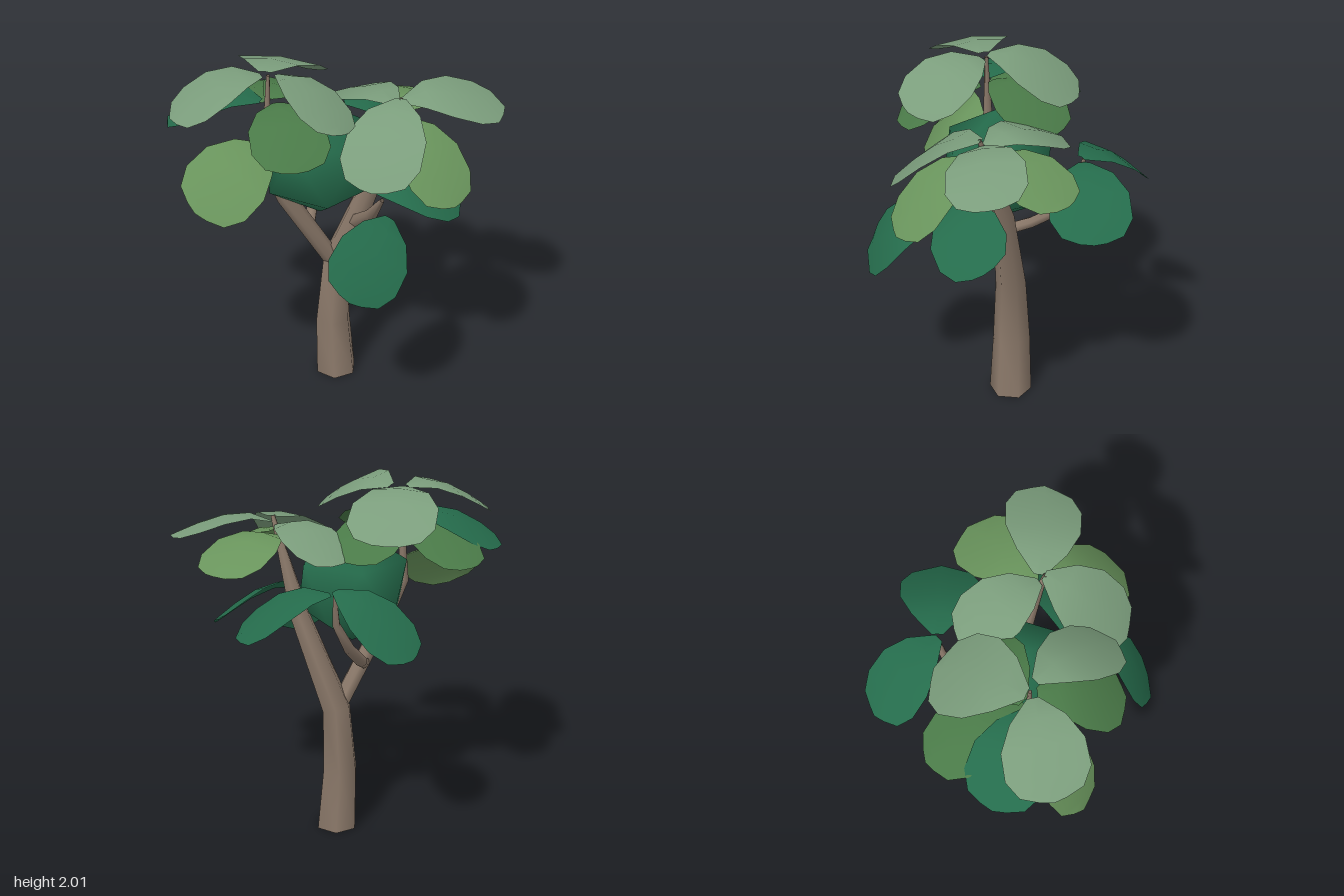
import * as THREE from 'three';
import { mergeVertices } from 'three/addons/utils/BufferGeometryUtils.js';

const V = (a) => new THREE.Vector3(...a);
const mat = (color) => new THREE.MeshStandardMaterial({ color, side: THREE.DoubleSide });
const bark = mat(0x8a7869);
const dark = mat(0x256c4c);
const mid = mat(0x4a7a48);
const lime = mat(0x69945c);
const pale = mat(0x7b9d7c);

// Surface through equal-length rows of points; closed rows wrap round
function loft(rows, closed) {
  const n = rows[0].length;
  const pos = rows.flat().flatMap((p) => [p.x, p.y, p.z]);
  const idx = [];
  for (let r = 0; r < rows.length - 1; r++) {
    for (let i = 0; i < (closed ? n : n - 1); i++) {
      const a = r * n + i, b = r * n + (i + 1) % n;
      idx.push(a, a + n, b, b, a + n, b + n);
    }
  }
  const g = new THREE.BufferGeometry();
  g.setAttribute('position', new THREE.Float32BufferAttribute(pos, 3));
  g.setIndex(idx);
  g.computeVertexNormals();
  return g;
}

// Tapered six-sided limb: each station is [x, y, z, radius]
function limb(name, stations) {
  const pts = stations.map((s) => V(s.slice(0, 3)));
  const rows = pts.map((p, k) => {
    const dir = pts[Math.min(k + 1, pts.length - 1)].clone().sub(pts[Math.max(k - 1, 0)]).normalize();
    if (k === 0 && p.y === 0) dir.set(0, 1, 0);
    const q = new THREE.Quaternion().setFromUnitVectors(new THREE.Vector3(0, 1, 0), dir);
    return Array.from({ length: 6 }, (_, i) => {
      const a = (-i / 6) * Math.PI * 2, r = stations[k][3];
      return new THREE.Vector3(Math.cos(a) * r, 0, Math.sin(a) * r).applyQuaternion(q).add(p);
    });
  });
  const m = new THREE.Mesh(loft(rows, true), bark);
  m.name = name;
  return m;
}

// Leaf outline: [fraction of length, half width]
const OUTLINE = [[0, 0.03], [0.2, 0.14], [0.45, 0.21], [0.72, 0.215], [0.9, 0.16], [1, 0.07]];

// Rounded, arched leaf from stalk to tip; roll tilts it about its midrib
function leaf(name, material, from, to, width = 1, roll = 0) {
  const base = V(from), axis = V(to).sub(base);
  const dir = axis.clone().normalize();
  const side = new THREE.Vector3(0, 1, 0).cross(dir).normalize().applyAxisAngle(dir, roll);
  const up = dir.clone().cross(side);
  const rows = OUTLINE.map(([t, w]) => [-1, 0, 1].map((s) => base.clone()
    .addScaledVector(axis, t - (t === 1 ? Math.abs(s) * 0.03 : 0))
    .addScaledVector(side, s * w * width)
    .addScaledVector(up, 0.07 * Math.sin(Math.PI * Math.pow(t, 0.7)) - Math.abs(s) * w * 0.12)));
  const m = new THREE.Mesh(loft(rows, false), material);
  m.name = name;
  return m;
}

// Smooth-shaded icosahedron standing on one of its corners
function crownCore() {
  const solid = new THREE.IcosahedronGeometry(0.335, 0);
  solid.deleteAttribute('normal');
  solid.deleteAttribute('uv');
  const g = mergeVertices(solid);
  g.computeVertexNormals();
  g.rotateX(-Math.atan((1 + Math.sqrt(5)) / 2));
  g.rotateY(Math.PI / 2);
  const m = new THREE.Mesh(g, dark);
  m.name = 'crownCore';
  m.position.set(-0.05, 1.445, 0.035);
  return m;
}

export function createModel() {
  const tree = new THREE.Group();
  tree.name = 'tree';

  // Trunk and branches
  tree.add(
    limb('trunk', [[0.07, 0, 0, 0.122], [0.055, 0.36, -0.012, 0.106], [0.07, 0.74, 0, 0.086],
      [0.24, 1.3, 0.115, 0.057], [0.31, 1.82, 0.275, 0.012]]),
    limb('rightBranch', [[0.04, 0.77, 0, 0.05], [-0.24, 1.23, 0, 0.05], [-0.345, 1.44, -0.02, 0.033],
      [-0.33, 1.62, -0.03, 0.024], [-0.32, 1.96, -0.02, 0.01]]),
    limb('frontBranch', [[0.15, 1.0, 0.05, 0.045], [0.13, 1.18, 0.3, 0.035], [0.13, 1.33, 0.42, 0.012]]),
    limb('backBranch', [[-0.1, 0.98, -0.01, 0.035], [0.0, 1.06, -0.16, 0.033], [0.14, 1.2, -0.28, 0.03],
      [0.24, 1.37, -0.32, 0.022], [0.26, 1.56, -0.34, 0.01]]),
    crownCore(),
  );

  // Leaves grouped by the branch they grow from
  const clusters = {
    rightLeaves: [
      [pale, [-0.36, 1.97, -0.02], [-0.85, 1.8, -0.07]],
      [pale, [-0.33, 1.975, -0.04], [0.01, 1.79, -0.42], 1.1],
      [pale, [-0.28, 1.975, 0.02], [-0.14, 1.81, 0.5], 0.9, -0.25],
      [mid, [-0.32, 1.8, -0.05], [-0.41, 1.66, -0.6], 0.88],
      [mid, [-0.29, 1.82, 0.03], [-0.39, 1.64, 0.48], 0.95],
      [mid, [-0.31, 1.82, -0.05], [0.14, 1.67, -0.24]],
      [dark, [-0.36, 1.82, -0.03], [-0.76, 1.67, -0.36], 0.95],
      [lime, [-0.34, 1.56, 0], [-0.81, 1.33, 0.12], 1, -0.6],
    ],
    leftLeaves: [
      [pale, [0.31, 1.82, 0.27], [-0.04, 1.51, 0.62]],
      [pale, [0.33, 1.8, 0.25], [0.84, 1.74, 0.45], 0.95, 0.15],
      [pale, [0.3, 1.78, 0.24], [0.17, 1.67, -0.25], 0.85],
      [lime, [0.32, 1.73, 0.22], [0.79, 1.63, 0.0], 0.95],
      [lime, [0.3, 1.73, 0.3], [0.37, 1.4, 0.76], 0.9],
    ],
    frontLeaves: [
      [dark, [0.13, 1.27, 0.51], [-0.22, 0.97, 0.74], 0.95, -0.7],
      [dark, [0.12, 1.365, 0.36], [0.63, 1.23, 0.39], 0.92, 0.5],
    ],
    backLeaves: [
      [dark, [0.25, 1.565, -0.33], [0.04, 1.29, -0.77], 0.88, 0.12],
      [dark, [0.28, 1.55, -0.33], [0.75, 1.34, -0.17]],
    ],
  };
  for (const [name, leaves] of Object.entries(clusters)) {
    const group = new THREE.Group();
    group.name = name;
    leaves.forEach((l) => group.add(leaf('leaf', ...l)));
    tree.add(group);
  }
  return tree;
}
